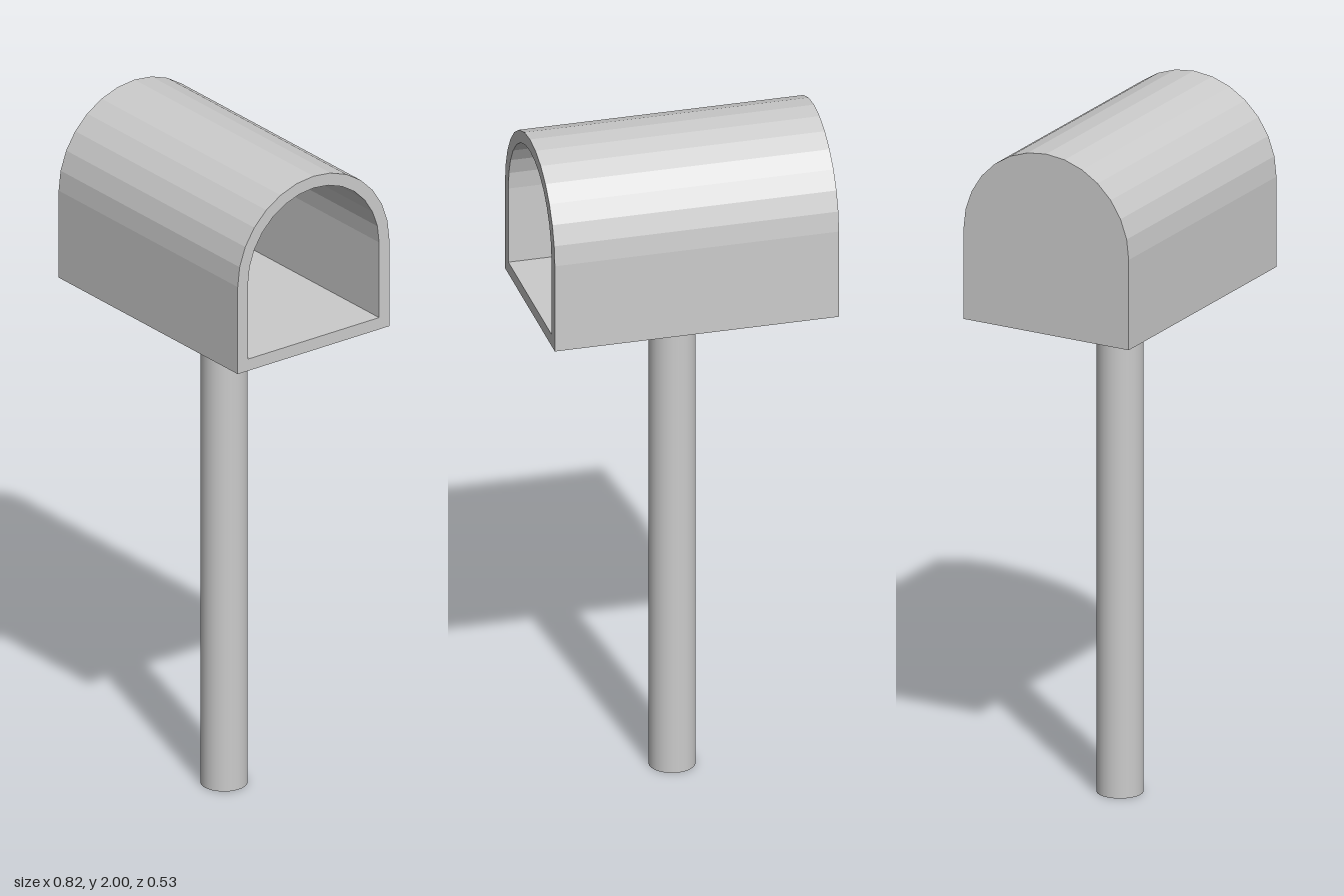
import * as THREE from 'three';
import { mergeGeometries } from 'three/addons/utils/BufferGeometryUtils.js';

const HALF_LENGTH = 0.41, RADIUS = 0.266, WALL = 0.036;
const BASE_Y = 1.468, ARCH_Y = 2 - RADIUS, ARCH_SEGMENTS = 14;

// Counter-clockwise outline: flat base, straight sides, faceted half-round top
function archPoints(radius, bottom) {
  const points = [new THREE.Vector2(-radius, bottom), new THREE.Vector2(radius, bottom)];
  for (let i = 0; i <= ARCH_SEGMENTS; i++) {
    const a = (Math.PI * i) / ARCH_SEGMENTS;
    points.push(new THREE.Vector2(radius * Math.cos(a), ARCH_Y + radius * Math.sin(a)));
  }
  return points;
}

// Flat-shaded wall swept along z around a closed outline
function wall(points, z0, z1) {
  const pos = [], uv = [];
  points.forEach((a, i) => {
    const b = points[(i + 1) % points.length];
    pos.push(a.x, a.y, z0, b.x, b.y, z0, b.x, b.y, z1);
    pos.push(a.x, a.y, z0, b.x, b.y, z1, a.x, a.y, z1);
    uv.push(0, 0, 1, 0, 1, 1, 0, 0, 1, 1, 0, 1);
  });
  const g = new THREE.BufferGeometry();
  g.setAttribute('position', new THREE.Float32BufferAttribute(pos, 3));
  g.setAttribute('uv', new THREE.Float32BufferAttribute(uv, 2));
  g.computeVertexNormals();
  return g;
}

const cap = (shape) => new THREE.ShapeGeometry(shape).toNonIndexed();

export function createModel() {
  const model = new THREE.Group();
  const material = new THREE.MeshStandardMaterial({ color: 0xcccccc });

  // Hollow box, open at +x and closed at -x
  const outer = archPoints(RADIUS, BASE_Y);
  const inner = archPoints(RADIUS - WALL, BASE_Y + WALL);
  const rim = new THREE.Shape(outer);
  rim.holes.push(new THREE.Path(inner));
  const innerBack = -HALF_LENGTH + WALL;
  const boxGeometry = mergeGeometries([
    wall(outer, -HALF_LENGTH, HALF_LENGTH),
    wall([...inner].reverse(), innerBack, HALF_LENGTH),
    cap(rim).translate(0, 0, HALF_LENGTH),
    cap(new THREE.Shape(inner)).translate(0, 0, innerBack),
    cap(new THREE.Shape(outer)).rotateY(Math.PI).translate(0, 0, -HALF_LENGTH),
  ]).rotateY(Math.PI / 2);
  const box = new THREE.Mesh(boxGeometry, material);
  box.name = 'mailboxShell';
  model.add(box);

  // Round post
  const post = new THREE.Mesh(new THREE.CylinderGeometry(0.066, 0.066, BASE_Y, 32), material);
  post.name = 'post';
  post.position.y = BASE_Y / 2;
  model.add(post);

  return model;
}
